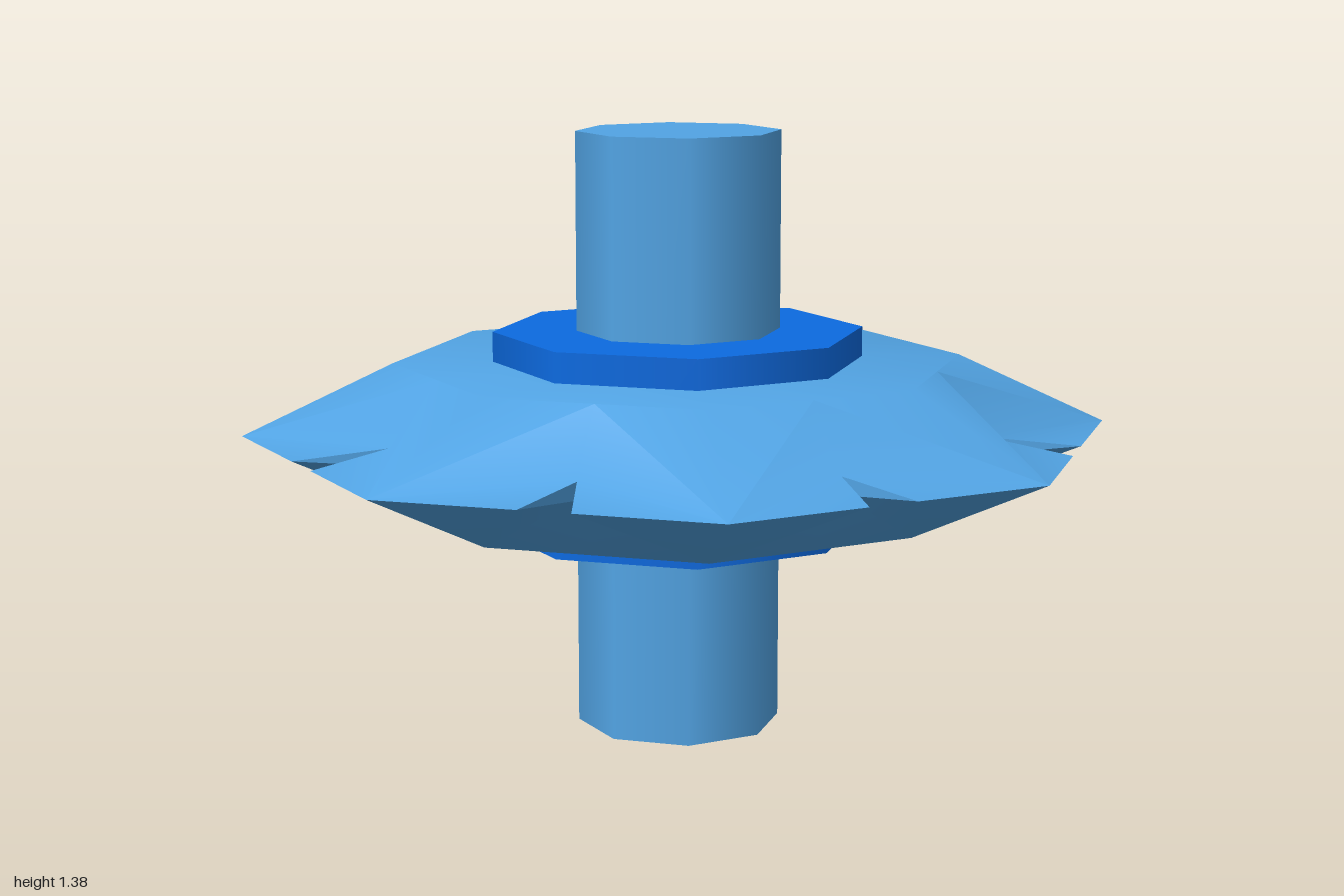
import * as THREE from 'three';
import { toCreasedNormals } from 'three/addons/utils/BufferGeometryUtils.js';

const shaftBlue = new THREE.MeshStandardMaterial({ color: 0x52a4e4 });
shaftBlue.name = 'lightBlue';
const collarBlue = new THREE.MeshStandardMaterial({ color: 0x0c6ae0 });
collarBlue.name = 'deepBlue';

const MID = 0.692; // height of the sharp rim

// Octagonal bar between two heights, with a corner on each axis
function octagonBar(name, radius, y0, y1, material) {
  const mesh = new THREE.Mesh(new THREE.CylinderGeometry(radius, radius, y1 - y0, 8), material);
  mesh.position.y = (y0 + y1) / 2;
  mesh.name = name;
  return mesh;
}

// Bevelled eight-lobed disc: each lobe is a half mirrored left/right and up/down
function bladeGeometry() {
  const pos = [];
  const tri = (flip, a, b, c) => pos.push(...a, ...(flip ? [...c, ...b] : [...b, ...c]));
  for (let k = 0; k < 8; k++) {
    for (const side of [1, -1]) {
      const point = (r, angle, dy) => {
        const a = (k * Math.PI) / 4 + side * angle;
        return [r * Math.sin(a), MID + dy, r * Math.cos(a)];
      };
      const half = Math.PI / 8;
      const tip = point(1, 0, 0);
      const corner = point(0.925, 0.33, 0);
      for (const up of [1, -1]) {
        const flip = side * up < 0;
        const hub = point(0, 0, 0.163 * up);
        const shoulder = point(0.655, 0, 0.163 * up);
        const valley = point(0.605, half, 0.163 * up);
        const root = point(0.72, half, 0.02 * up);
        tri(flip, hub, shoulder, valley);
        if (up > 0) {
          tri(flip, shoulder, tip, valley);
          tri(flip, tip, root, valley);
          tri(flip, tip, corner, root);
        } else {
          tri(flip, shoulder, tip, corner);
          tri(flip, shoulder, corner, root);
          tri(flip, shoulder, root, valley);
        }
      }
      // Thin wall inside the notch
      tri(side < 0, corner, point(0.72, half, -0.02), point(0.72, half, 0.02));
    }
  }
  const geometry = new THREE.BufferGeometry();
  geometry.setAttribute('position', new THREE.Float32BufferAttribute(pos, 3));
  return toCreasedNormals(geometry, 0.9);
}

export function createModel() {
  const model = new THREE.Group();
  model.name = 'notchedWheel';
  const blade = new THREE.Mesh(bladeGeometry(), shaftBlue);
  blade.name = 'notchedDisc';
  model.add(
    octagonBar('shaft', 0.235, 0, 1.38, shaftBlue),
    octagonBar('collar', 0.427, 0.46, 0.924, collarBlue),
    blade
  );
  return model;
}
